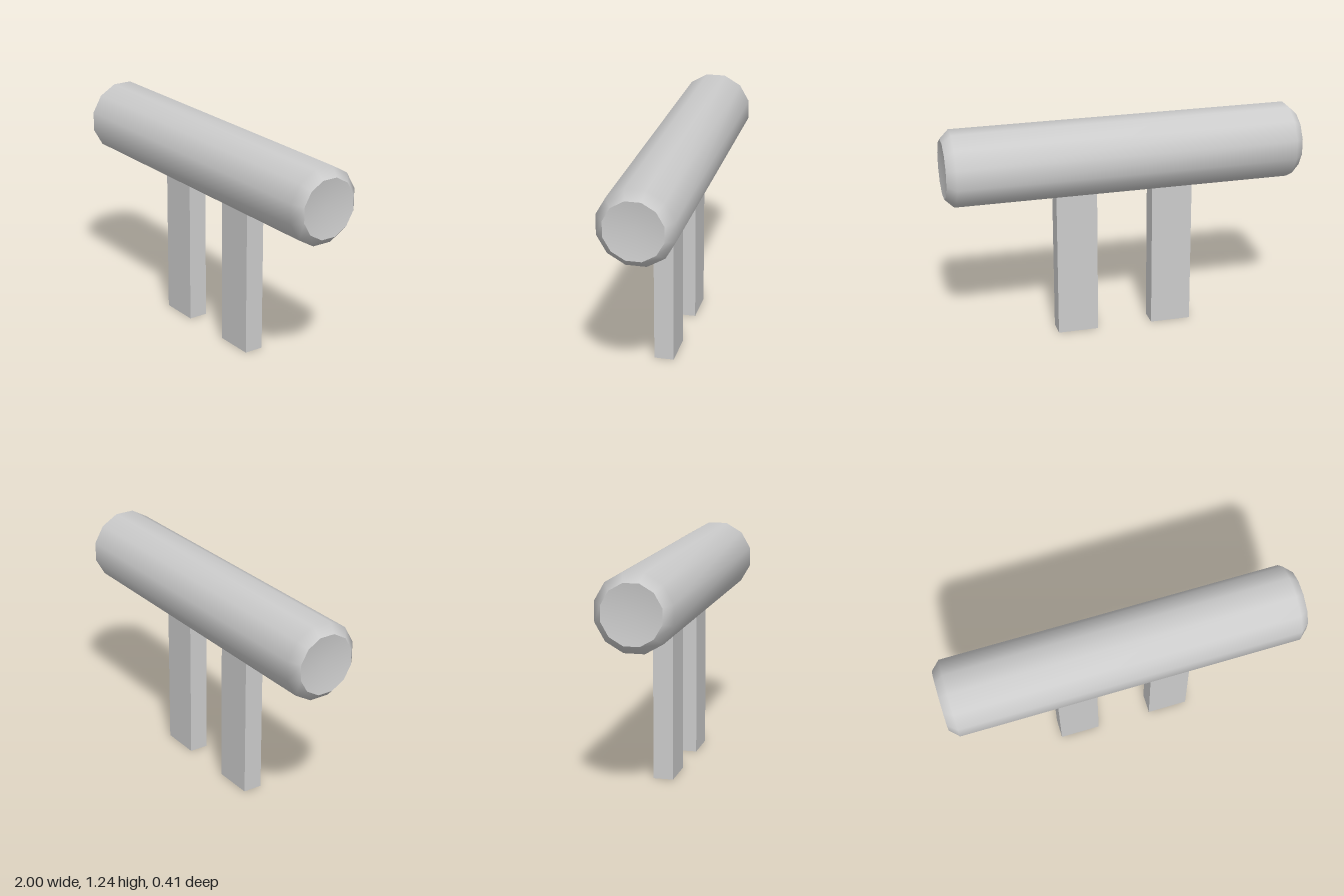
import * as THREE from 'three';
import { mergeVertices } from 'three/addons/utils/BufferGeometryUtils.js';

const SIDES = 12;
const AXIS_Y = 1.032;
const BODY_R = 0.212;
const END_R = 0.164;

const material = new THREE.MeshStandardMaterial({ color: 0xcccccc, side: THREE.DoubleSide });

// Twelve-sided lathe with a flat on top, laid along x and welded for smooth normals
function latheAlongX(profile) {
  const points = profile.map(([r, h]) => new THREE.Vector2(r, h));
  const lathe = new THREE.LatheGeometry(points, SIDES, Math.PI / SIDES);
  lathe.deleteAttribute('uv');
  lathe.deleteAttribute('normal');
  const geometry = mergeVertices(lathe, 1e-4);
  geometry.computeVertexNormals();
  return geometry.rotateZ(-Math.PI / 2);
}

function addMesh(parent, name, geometry) {
  const mesh = new THREE.Mesh(geometry, material);
  mesh.name = name;
  parent.add(mesh);
  return mesh;
}

export function createModel() {
  const model = new THREE.Group();
  model.name = 'logOnPosts';

  // Log with chamfered ends
  const log = new THREE.Group();
  log.name = 'log';
  log.position.y = AXIS_Y;
  model.add(log);
  addMesh(log, 'logBody', latheAlongX([
    [END_R, -1], [BODY_R, -0.95], [BODY_R, 0.95], [END_R, 1],
  ]));

  // Slightly dished end faces
  for (const [name, turn] of [['leftEnd', 0], ['rightEnd', Math.PI]]) {
    addMesh(log, name, latheAlongX([[END_R, 1], [0, 0.975]])).rotation.y = turn;
  }

  // Two flat posts, open at top and bottom
  const height = AXIS_Y - BODY_R * Math.cos(Math.PI / SIDES);
  for (const [name, side] of [['leftPost', 1], ['rightPost', -1]]) {
    const box = new THREE.BoxGeometry(0.23, height, 0.11);
    const index = Array.from(box.index.array);
    box.setIndex([...index.slice(0, 12), ...index.slice(24)]);
    box.clearGroups();
    addMesh(model, name, box).position.set(side * 0.273, height / 2, 0);
  }

  return model;
}
